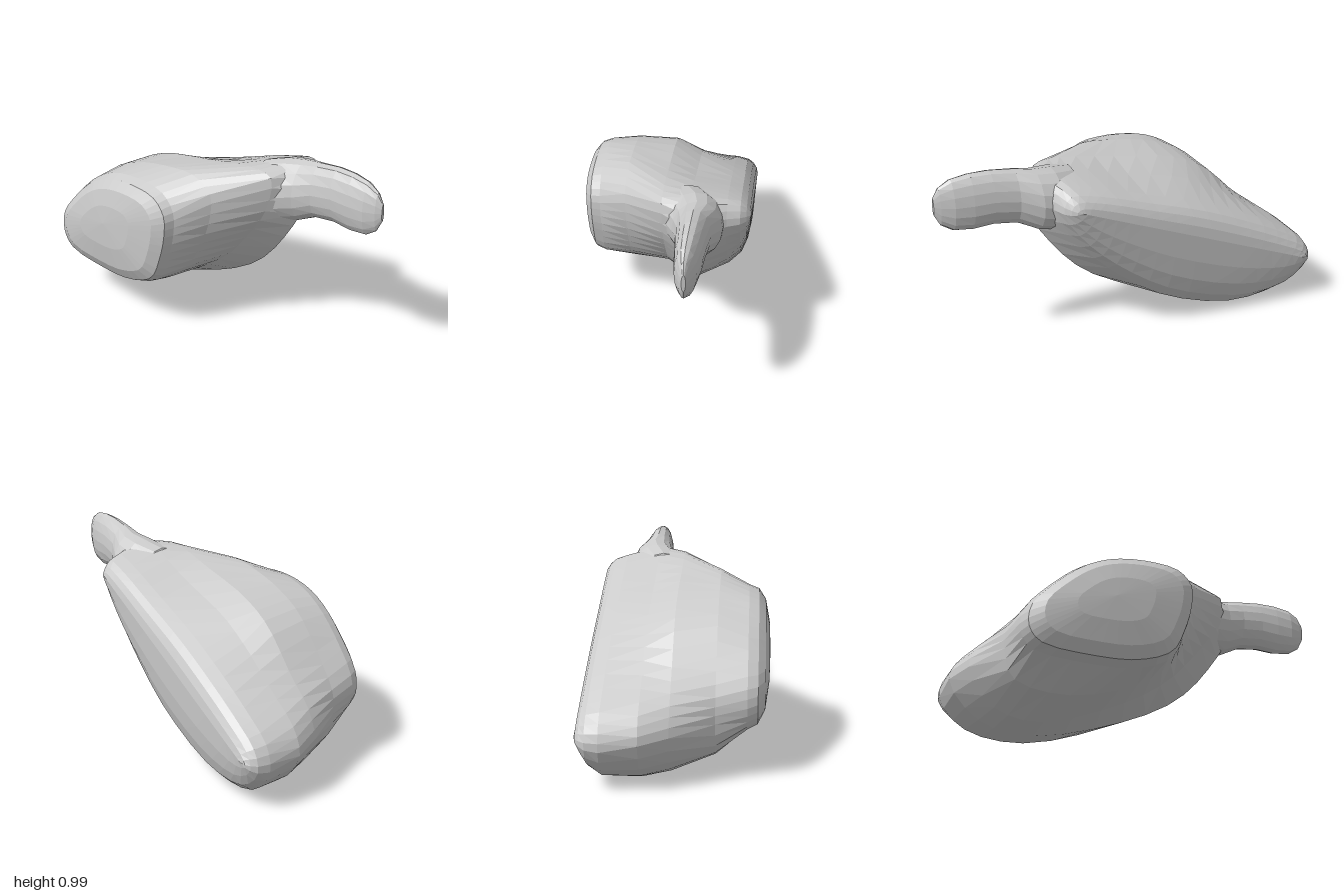
import * as THREE from 'three';

const SEG = 40;
const SHEAR = 0.13; // slices lean back towards the low end

// Closed outlines in x, y: left tip, over the top, right shoulder, underside
const BACK = [[-.99, .22], [-.96, .34], [-.8, .45], [-.55, .58], [-.3, .69], [0, .79], [.28, .88],
  [.42, .895], [.46, .8], [.34, .58], [.13, .36], [-.17, .15], [-.58, .025], [-.86, .07]];
const MIDDLE = [[-1, .25], [-.95, .37], [-.76, .5], [-.55, .64], [-.35, .74], [0, .83], [.3, .92],
  [.47, .93], [.53, .77], [.42, .55], [.21, .31], [-.15, .12], [-.6, .003], [-.85, .06]];
const WAIST = [[-.95, .27], [-.9, .4], [-.75, .53], [-.55, .72], [-.35, .81], [0, .875], [.28, .92],
  [.41, .9], [.38, .72], [.26, .54], [.09, .35], [-.19, .17], [-.6, .025], [-.82, .08]];
const BULGE = [[-.85, .3], [-.84, .42], [-.72, .57], [-.55, .74], [-.37, .82], [-.15, .865], [.05, .875],
  [.17, .81], [.16, .65], [.08, .47], [-.02, .32], [-.21, .19], [-.55, .1], [-.8, .15]];
const FRONT = [[-.83, .33], [-.82, .45], [-.7, .6], [-.55, .73], [-.4, .8], [-.2, .825], [-.03, .8],
  [.04, .72], [.04, .6], [0, .45], [-.07, .31], [-.25, .23], [-.5, .215], [-.77, .25]];

// The lines that the rounded back and front shrink towards
const backRidge = { x: -.25, y: x => .65 + .417 * x };
const frontCentre = { x: -.4, y: x => .55 + .15 * (x + .4) };

// One leaning slice of the body, optionally drawn in towards a line
function slice(outline, depth, line = frontCentre, sx = 1, sy = 1) {
  const curve = new THREE.CatmullRomCurve3(
    outline.map(([x, y]) => new THREE.Vector3(x, y, 0)), true, 'centripetal');
  return Array.from({ length: SEG }, (_, i) => {
    const p = curve.getPoint(i / SEG);
    const x = line.x + (p.x - line.x) * sx;
    return new THREE.Vector3(x, line.y(x) + (p.y - line.y(p.x)) * sy, depth + SHEAR * x);
  });
}

// One upright oval section of the paddle
function oval(x, y0, y1, z0, z1, n = 16) {
  return Array.from({ length: n }, (_, i) => {
    const a = (i / n) * Math.PI * 2;
    return new THREE.Vector3(x, (y0 + y1) / 2 + Math.sin(a) * (y1 - y0) / 2,
      (z0 + z1) / 2 + Math.cos(a) * (z1 - z0) / 2);
  });
}

// Skin over a row of equal rings; collapsed end rings close the shape
function loft(rings) {
  const pos = [];
  const tri = (a, b, c) => {
    if (new THREE.Triangle(a, b, c).getArea() > 1e-8) for (const p of [a, b, c]) pos.push(p.x, p.y, p.z);
  };
  for (let j = 0; j < rings.length - 1; j++) {
    const r = rings[j], s = rings[j + 1];
    for (let i = 0; i < r.length; i++) {
      const k = (i + 1) % r.length;
      tri(r[i], s[i], r[k]);
      tri(r[k], s[i], s[k]);
    }
  }
  const geo = new THREE.BufferGeometry();
  geo.setAttribute('position', new THREE.Float32BufferAttribute(pos, 3));
  geo.computeVertexNormals();
  return geo;
}

export function createModel() {
  const group = new THREE.Group();
  group.name = 'lobedBody';
  const material = new THREE.MeshStandardMaterial({ color: 0xcccccc, flatShading: true });
  const add = (name, geo) => {
    const mesh = new THREE.Mesh(geo, material);
    mesh.name = name;
    group.add(mesh);
  };

  // Main lump: long back rounded onto a ridge, shorter bulge in front
  add('mainLobe', loft([
    slice(BACK, -.39, backRidge, .88, 0), slice(BACK, -.383, backRidge, .92, .35),
    slice(BACK, -.365, backRidge, .95, .62), slice(BACK, -.335, backRidge, .98, .83),
    slice(BACK, -.27), slice(MIDDLE, -.09), slice(WAIST, .05), slice(BULGE, .26), slice(FRONT, .41),
    slice(FRONT, .46, frontCentre, .95, .93), slice(FRONT, .495, frontCentre, .8, .75),
    slice(FRONT, .515, frontCentre, .45, .4), slice(FRONT, .52, frontCentre, 0, 0),
  ]));

  // Thin upright paddle reaching out from the shoulder
  add('paddle', loft([
    oval(.2, .74, .82, -.06, 0), oval(.28, .66, .925, -.16, .1), oval(.4, .62, .955, -.21, .09),
    oval(.5, .645, .968, -.19, .06), oval(.6, .695, .985, -.13, .045), oval(.72, .71, 1, -.1, .05),
    oval(.82, .7, 1, -.075, .058), oval(.91, .71, .985, -.045, .06), oval(.97, .75, .95, -.01, .045),
    oval(1, .81, .9, .01, .03), oval(1, .855, .855, .02, .02),
  ]));
  return group;
}
